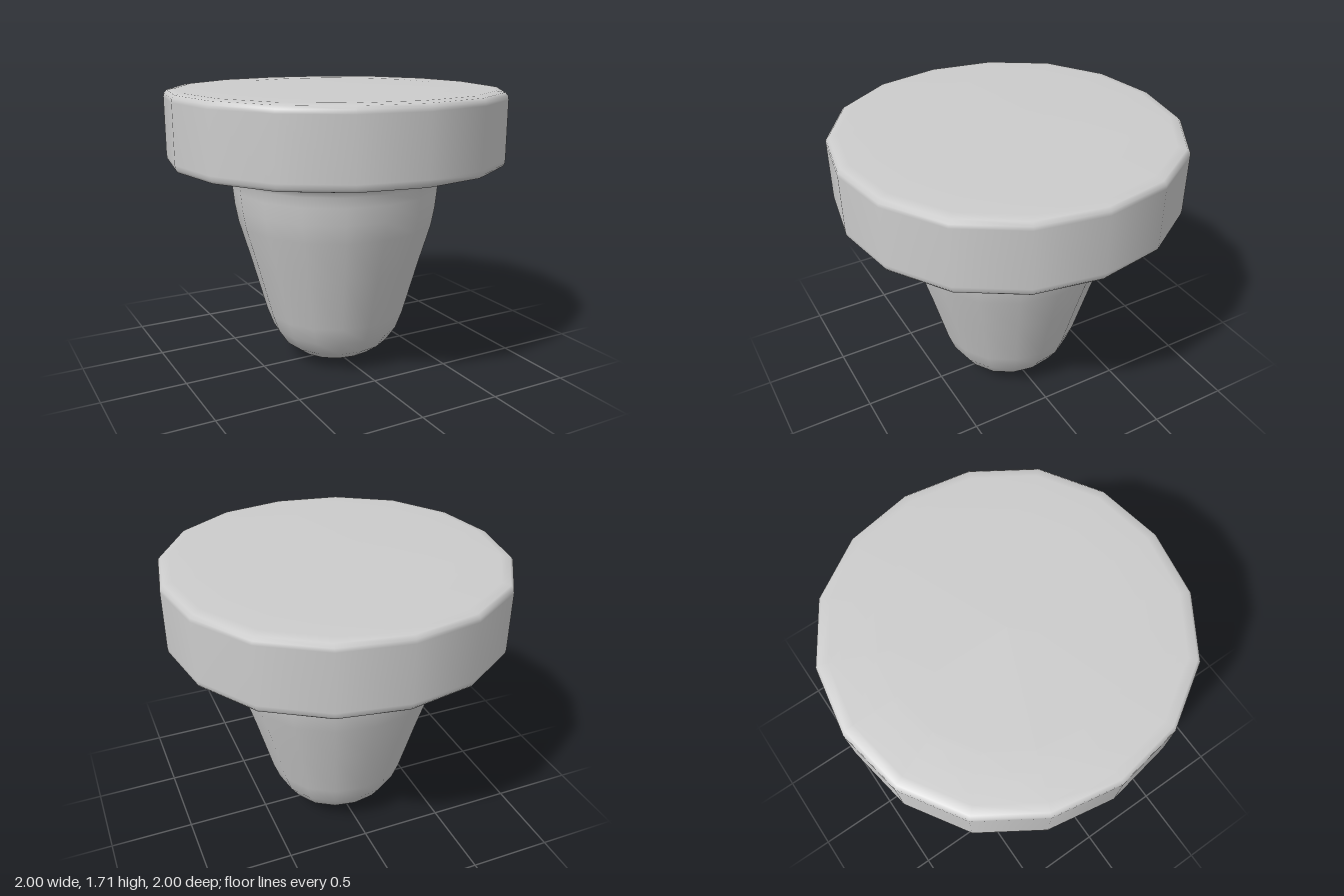
import * as THREE from 'three';

const SIDES = 16;

// Turned profile, [radius, height], from the rounded tip up to the flat top
const PROFILE = [
  [0, 0], [0.13, 0.018], [0.25, 0.06], [0.33, 0.12], [0.39, 0.21], [0.43, 0.32],
  [0.52, 0.65], [0.59, 0.89], [0.61, 1.0], [0.62, 1.1], [0.625, 1.16],   // tapered stem
  [0.645, 1.205], [0.69, 1.233], [0.76, 1.246], [0.95, 1.26],            // fillet and underside
  [0.985, 1.268], [0.997, 1.285], [1, 1.31], [1, 1.65], [0.997, 1.672],  // rim
  [0.98, 1.69], [0.93, 1.698], [0.67, 1.704], [0, 1.705],                // cap top
];

export function createModel() {
  const group = new THREE.Group();
  group.name = 'plug';

  const points = PROFILE.map(([r, y]) => new THREE.Vector2(r, y));
  const geometry = new THREE.LatheGeometry(points, SIDES);

  // The section is slightly fuller on the diagonals
  const pos = geometry.attributes.position;
  for (let i = 0; i < pos.count; i++) {
    const x = pos.getX(i), z = pos.getZ(i);
    const k = 1 + 0.009 * (1 - Math.cos(4 * Math.atan2(x, z)));
    pos.setX(i, x * k);
    pos.setZ(i, z * k);
  }

  const body = new THREE.Mesh(geometry, new THREE.MeshStandardMaterial({ color: 0xcccccc }));
  body.name = 'cappedStem';
  group.add(body);
  return group;
}
